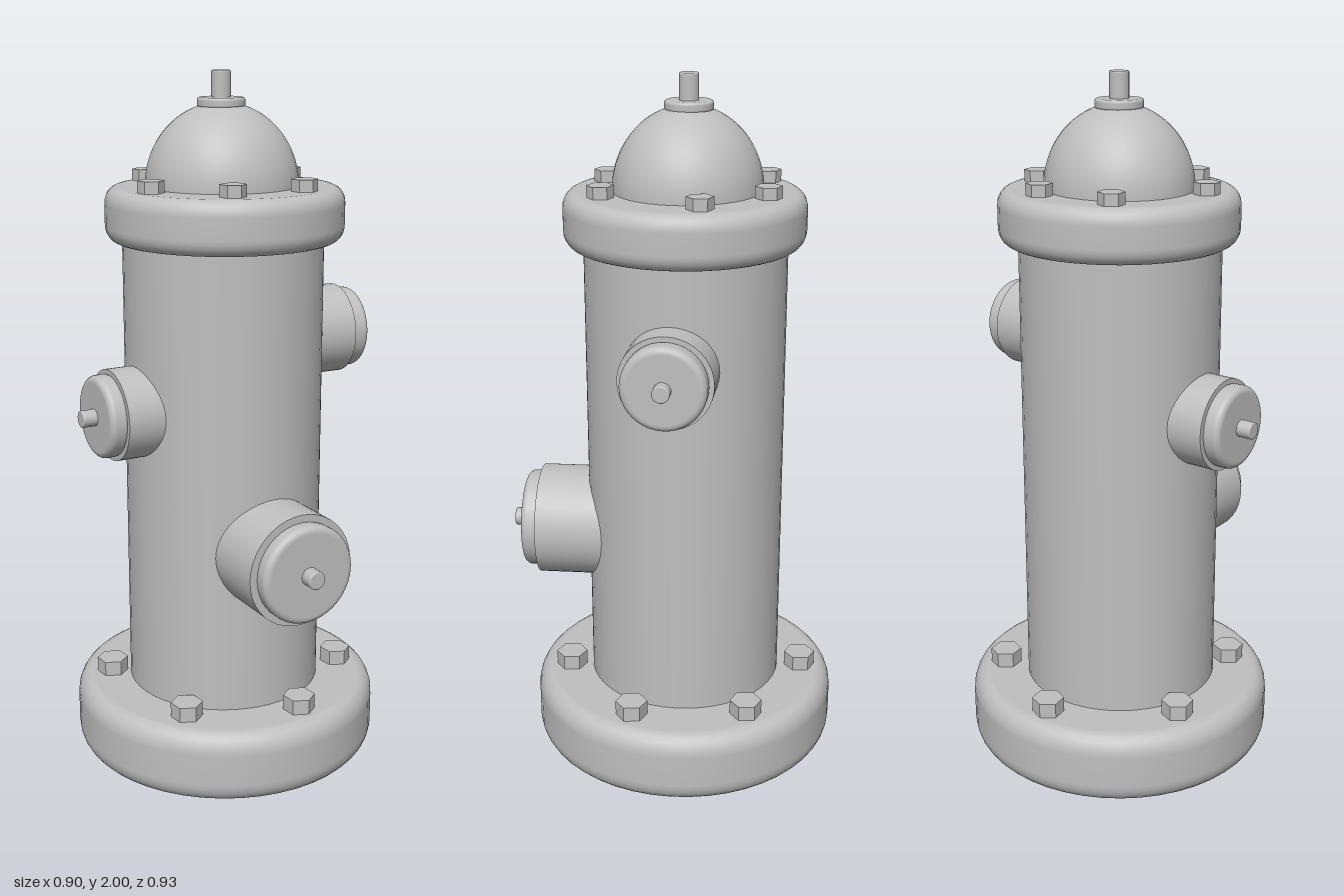
import * as THREE from 'three';

export function createModel() {
  const hydrant = new THREE.Group();
  hydrant.name = 'hydrant';
  const grey = new THREE.MeshStandardMaterial({ color: 0xbfbfbf });
  grey.name = 'grey';

  const add = (parent, name, geometry, x = 0, y = 0, z = 0) => {
    const mesh = new THREE.Mesh(geometry, grey);
    mesh.name = name;
    mesh.position.set(x, y, z);
    parent.add(mesh);
    return mesh;
  };

  // Disc with rounded rims, from y0 to y1; bw and bh are the rim's width and height
  const roundedDisc = (r, y0, y1, bw, bh, segments = 48) => {
    const pts = [new THREE.Vector2(0, y0), new THREE.Vector2(r - bw - 0.002, y0)];
    const steps = 6;
    for (let i = 0; i <= steps; i++) {
      const a = (i / steps) * Math.PI / 2;
      pts.push(new THREE.Vector2(r - bw + bw * Math.sin(a), y0 + bh - bh * Math.cos(a)));
    }
    for (let i = 0; i <= steps; i++) {
      const a = (i / steps) * Math.PI / 2;
      pts.push(new THREE.Vector2(r - bw + bw * Math.cos(a), y1 - bh + bh * Math.sin(a)));
    }
    pts.push(new THREE.Vector2(r - bw - 0.002, y1), new THREE.Vector2(0, y1));
    return new THREE.LatheGeometry(pts, segments);
  };

  // Cylinder standing between two heights
  const post = (r, y0, y1, segments = 32) =>
    new THREE.CylinderGeometry(r, r, y1 - y0, segments).translate(0, (y0 + y1) / 2, 0);

  const cz = -0.021; // centre line of the barrel

  // Base, barrel and upper flange
  add(hydrant, 'base', roundedDisc(0.45, 0, 0.212, 0.045, 0.06), 0, 0, cz);
  add(hydrant, 'barrel', post(0.285, 0.15, 1.6, 48), -0.005, 0, cz);
  add(hydrant, 'upperFlange', roundedDisc(0.337, 1.537, 1.687, 0.035, 0.045), 0, 0, cz);

  // Dome with its collar and operating nut
  const dome = new THREE.SphereGeometry(1, 40, 20, 0, Math.PI * 2, 0, Math.PI / 2);
  dome.scale(0.216, 0.23, 0.207);
  add(hydrant, 'dome', dome, -0.008, 1.685, cz - 0.005);
  add(hydrant, 'domeCollar', roundedDisc(0.067, 1.9, 1.928, 0.008, 0.008, 32), -0.01, 0, cz - 0.006);
  add(hydrant, 'operatingNut', roundedDisc(0.027, 1.91, 2, 0.004, 0.004, 24), -0.01, 0, cz - 0.006);

  // Hexagonal bolts, given as x and z offsets from the centre line
  const bolts = (name, offsets, r, y0, y1, cx) => {
    for (const [x, z] of offsets) {
      const bolt = new THREE.CylinderGeometry(r, r, y1 - y0, 6).toNonIndexed();
      bolt.computeVertexNormals();
      bolt.rotateY(Math.PI / 6);
      add(hydrant, name, bolt, cx + x, (y0 + y1) / 2, cz + z);
    }
  };
  bolts('flangeBolt', [[0, 0.25], [0, -0.25], [0.205, 0.15], [0.205, -0.15], [-0.21, 0.145], [-0.21, -0.15]],
    0.037, 1.67, 1.72, -0.005);
  bolts('baseBolt', [[-0.345, -0.01], [0.345, -0.01], [-0.143, 0.305], [-0.143, -0.325], [0.184, 0.295], [0.184, -0.3]],
    0.046, 0.19, 0.256, 0);

  // Outlets: pipe, rounded cap and nut, all distances measured from the centre line
  const outlet = (name, y, dx, dz, pipeR, pipeEnd, capR, capEnd, nutR, nutEnd) => {
    const group = new THREE.Group();
    group.name = name;
    group.position.set(0, y, cz);
    group.rotation.y = Math.atan2(dx, dz);
    const parts = [
      ['outletPipe', post(pipeR, 0.2, pipeEnd, 40)],
      ['outletCap', roundedDisc(capR, pipeEnd - 0.01, capEnd, 0.018, 0.018, 40)],
      ['outletNut', roundedDisc(nutR, capEnd - 0.02, nutEnd, 0.004, 0.004, 24)],
    ];
    for (const [part, geometry] of parts) add(group, part, geometry.rotateX(Math.PI / 2));
    hydrant.add(group);
  };
  outlet('frontOutlet', 0.682, 0.394, 0.919, 0.162, 0.426, 0.142, 0.472, 0.026, 0.51);
  outlet('rightOutlet', 1.07, -0.922, 0.387, 0.13, 0.367, 0.117, 0.414, 0.024, 0.456);
  outlet('leftOutlet', 1.248, 0.94, -0.342, 0.13, 0.362, 0.117, 0.416, 0.024, 0.448);

  return hydrant;
}
